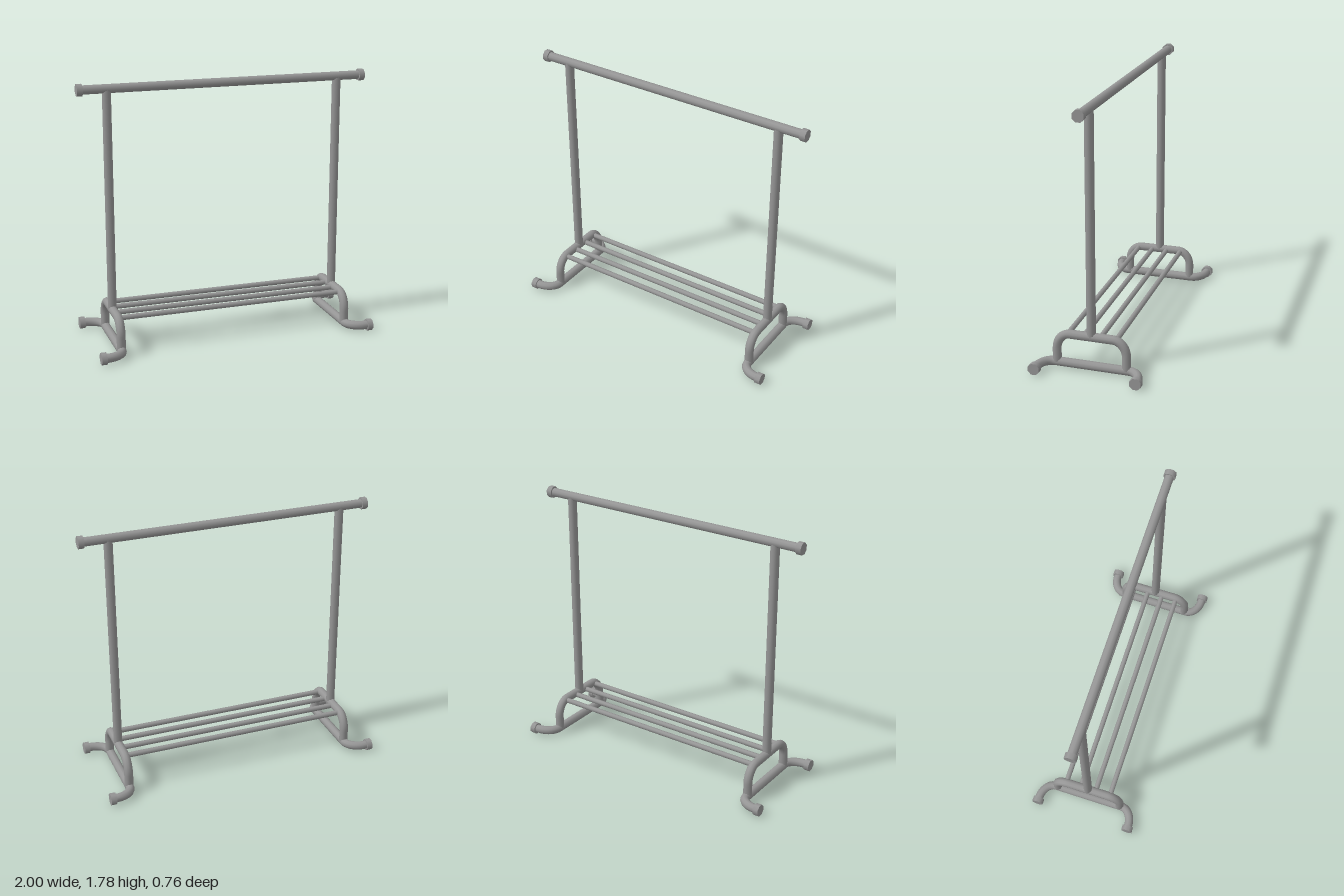
import * as THREE from 'three';

const PIPE = 0.03, SIDES = 10;
const SIDE_X = 0.803, RAIL_Y = 1.747, SHELF_Y = 0.239, FOOT_Y = 0.039;
const v = (x, y, z) => new THREE.Vector3(x, y, z);

export function createModel() {
  const model = new THREE.Group();
  const material = new THREE.MeshStandardMaterial({ color: 0x969696 });

  const add = (name, geometry) => {
    const mesh = new THREE.Mesh(geometry, material);
    mesh.name = name;
    model.add(mesh);
    return mesh;
  };

  // Straight round bar between two points
  const bar = (name, a, b, radius = PIPE, sides = SIDES) => {
    const geometry = new THREE.CylinderGeometry(radius, radius, a.distanceTo(b), sides, 1, false, Math.PI / sides);
    const mesh = add(name, geometry);
    mesh.position.copy(a).add(b).multiplyScalar(0.5);
    mesh.quaternion.setFromUnitVectors(v(0, 1, 0), b.clone().sub(a).normalize());
    return mesh;
  };

  // Pipe through corner points; bendIn is the rounding along the end legs, bendMid along the middle run
  const bentPipe = (name, [start, c1, c2, end], bendIn, bendMid) => {
    const toward = (p, q, d) => p.clone().add(q.clone().sub(p).setLength(d));
    const round = (a, p, b) =>
      new THREE.CubicBezierCurve3(a, a.clone().lerp(p, 0.55), b.clone().lerp(p, 0.55), b);
    const a = toward(c1, start, bendIn), b = toward(c1, c2, bendMid);
    const c = toward(c2, c1, bendMid), d = toward(c2, end, bendIn);
    const path = new THREE.CurvePath();
    path.add(new THREE.LineCurve3(start, a));
    path.add(round(a, c1, b));
    path.add(new THREE.LineCurve3(b, c));
    path.add(round(c, c2, d));
    path.add(new THREE.LineCurve3(d, end));
    add(name, new THREE.TubeGeometry(path, 48, PIPE, SIDES, false));
  };

  // Eight-sided end cap
  const cap = (name, outerX, y, z) =>
    bar(name, v(outerX - Math.sign(outerX) * 0.038, y, z), v(outerX, y, z), 0.041, 8);

  // Hanging rail
  bar('hangingRail', v(-0.98, RAIL_Y, 0), v(0.98, RAIL_Y, 0));

  for (const s of [-1, 1]) {
    const side = s > 0 ? 'left' : 'right';
    const x = s * SIDE_X;
    cap(side + 'RailCap', s, RAIL_Y, 0);
    bar(side + 'Upright', v(x, SHELF_Y, 0), v(x, RAIL_Y, 0));

    // Arch that carries the upright
    bentPipe(side + 'Arch', [
      v(x, FOOT_Y, 0.235), v(x, 0.243, 0.235), v(x, 0.243, -0.235), v(x, FOOT_Y, -0.235),
    ], 0.11, 0.09);

    // Floor pipe with both ends turned outwards
    bentPipe(side + 'Foot', [
      v(s * 0.95, FOOT_Y, 0.34), v(x, FOOT_Y, 0.34), v(x, FOOT_Y, -0.34), v(s * 0.95, FOOT_Y, -0.34),
    ], 0.12, 0.09);
    for (const z of [-0.34, 0.34]) cap(side + 'FootCap', s * 0.965, FOOT_Y, z);
  }

  // Shelf bars
  for (const z of [-0.163, -0.055, 0.055, 0.163]) {
    bar('shelfBar', v(-SIDE_X, SHELF_Y, z), v(SIDE_X, SHELF_Y, z), 0.018);
  }

  return model;
}
